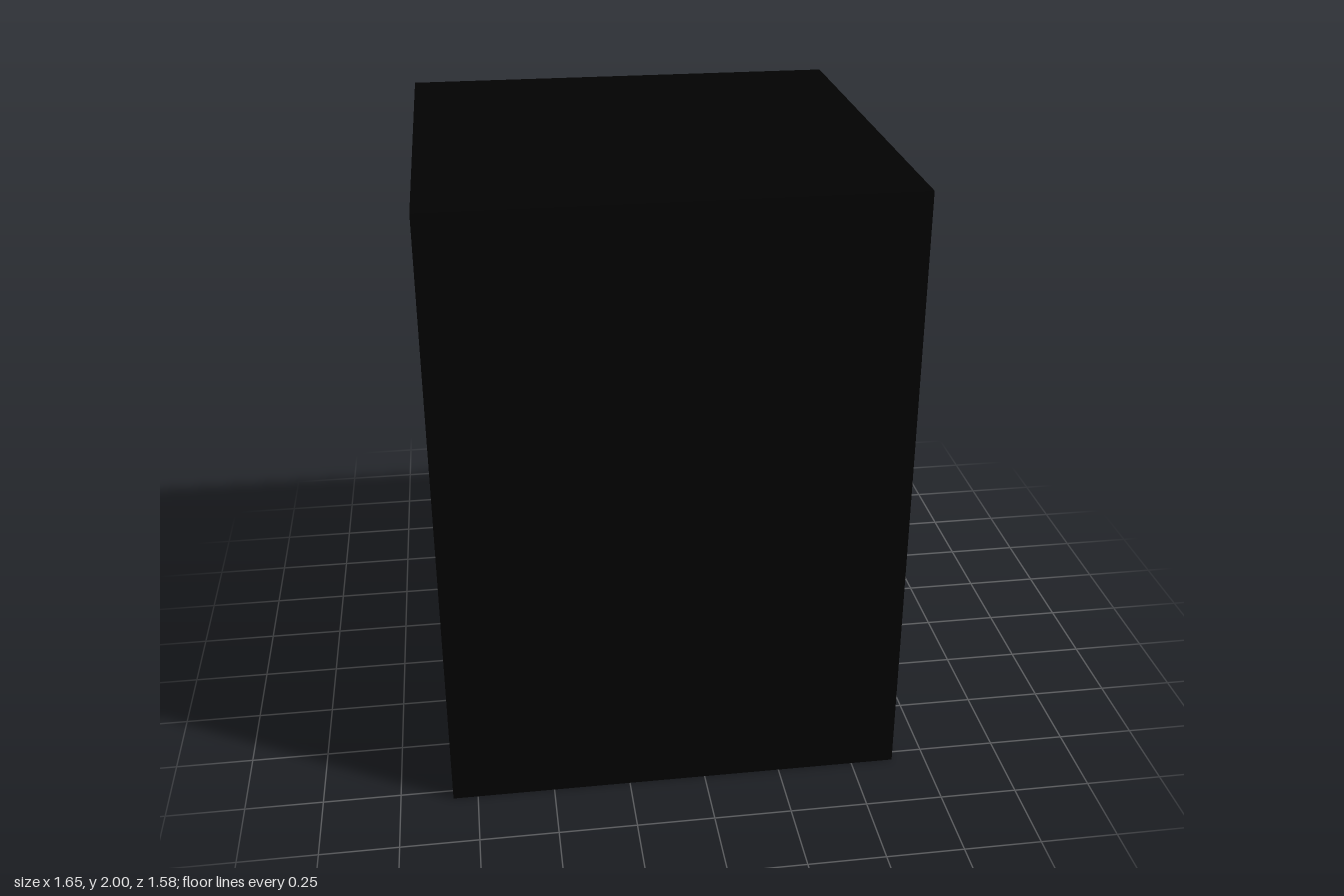
import * as THREE from 'three';
import { mergeVertices } from 'three/addons/utils/BufferGeometryUtils.js';

const black = new THREE.MeshStandardMaterial({ color: 0x020202 });
const grey = new THREE.MeshStandardMaterial({ color: 0xcccccc });

const FACE = 0.64; // x of the door side
const DOOR = 0.63; // x of the door surface

function add(parent, name, geometry, material, x = 0, y = 0, z = 0) {
  const mesh = new THREE.Mesh(geometry, material);
  mesh.name = name;
  mesh.position.set(x, y, z);
  parent.add(mesh);
  return mesh;
}

// Box with shared corners, so its shading is soft
function softBox(w, h, d) {
  const g = new THREE.BoxGeometry(w, h, d);
  g.deleteAttribute('normal');
  g.deleteAttribute('uv');
  const soft = mergeVertices(g);
  soft.computeVertexNormals();
  return soft;
}

// Turned part whose axis points along +x; creases kept by flat profile segments
function turned(profile) {
  const parts = new THREE.Group();
  for (let i = 0; i < profile.length - 1; i++) {
    const pts = [profile[i], profile[i + 1]].map(([r, x]) => new THREE.Vector2(r, x));
    add(parts, 'turnedBand', new THREE.LatheGeometry(pts, 40), grey);
  }
  parts.rotation.z = -Math.PI / 2;
  return parts;
}

function rect(path, z0, z1, y0, y1) {
  // Drawn in (-z, y), so the extrusion can be turned to face +x
  path.moveTo(-z0, y0);
  path.lineTo(-z1, y0);
  path.lineTo(-z1, y1);
  path.lineTo(-z0, y1);
  path.closePath();
  return path;
}

export function createModel() {
  const safe = new THREE.Group();
  safe.name = 'safe';

  // Cabinet: solid rear block plus a frame around the door opening
  const depth = 0.1;
  add(safe, 'cabinet', new THREE.BoxGeometry(1.47 - depth, 2, 1.47), black,
    (-0.83 + FACE - depth) / 2, 1, 0.055);
  const frameShape = rect(new THREE.Shape(), 0.79, -0.68, 0, 2);
  frameShape.holes.push(rect(new THREE.Path(), 0.71, -0.6, 0.08, 1.92));
  const frame = add(safe, 'doorFrame',
    new THREE.ExtrudeGeometry(frameShape, { depth, bevelEnabled: false }), black, FACE - depth);
  frame.rotation.y = Math.PI / 2;

  // Door, with a gap all round
  add(safe, 'door', new THREE.BoxGeometry(depth, 1.8, 1.23), black, DOOR - depth / 2, 1, 0.075);

  // Rivets
  const rivets = new THREE.Group();
  rivets.name = 'rivets';
  safe.add(rivets);
  const rivetShape = new THREE.SphereGeometry(0.031, 14, 10);
  const rivet = (y, z) => add(rivets, 'rivet', rivetShape, grey, DOOR, y, z);
  [1.65, 1.48, 1.33, 1.15, 0.975, 0.79, 0.62, 0.466, 0.3].forEach((y) => rivet(y, 0.628));
  [1.33, 1.15, 0.97, 0.78, 0.6].forEach((y) => rivet(y, -0.485));
  [0.57, 0.4, 0.245, 0.07, -0.11, -0.29, -0.465].forEach((z) => {
    rivet(1.83, z);
    rivet(0.14, z + 0.028);
  });

  // Slanted hinge blocks
  for (const y of [1.585, 0.405]) {
    const hinge = add(safe, 'hinge', softBox(0.198, 0.31, 0.594), grey, 0.643, y, -0.481);
    hinge.rotation.y = 0.28;
  }

  // Combination dial
  const dial = turned([[0.127, 0], [0.127, 0.035], [0.04, 0.08], [0, 0.08]]);
  dial.name = 'dial';
  dial.position.set(DOOR, 1.315, 0.072);
  safe.add(dial);

  // Handle: rimmed dish with an upright grip bar
  const handle = new THREE.Group();
  handle.name = 'handle';
  handle.position.set(DOOR, 0.96, 0.39);
  const dish = turned([[0.131, 0], [0.131, 0.047], [0.112, 0.047], [0.09, 0.015], [0, 0.01]]);
  dish.name = 'dish';
  handle.add(dish);
  add(handle, 'gripBar', new THREE.BoxGeometry(0.04, 0.214, 0.082), grey, 0.025);
  safe.add(handle);

  return safe;
}
